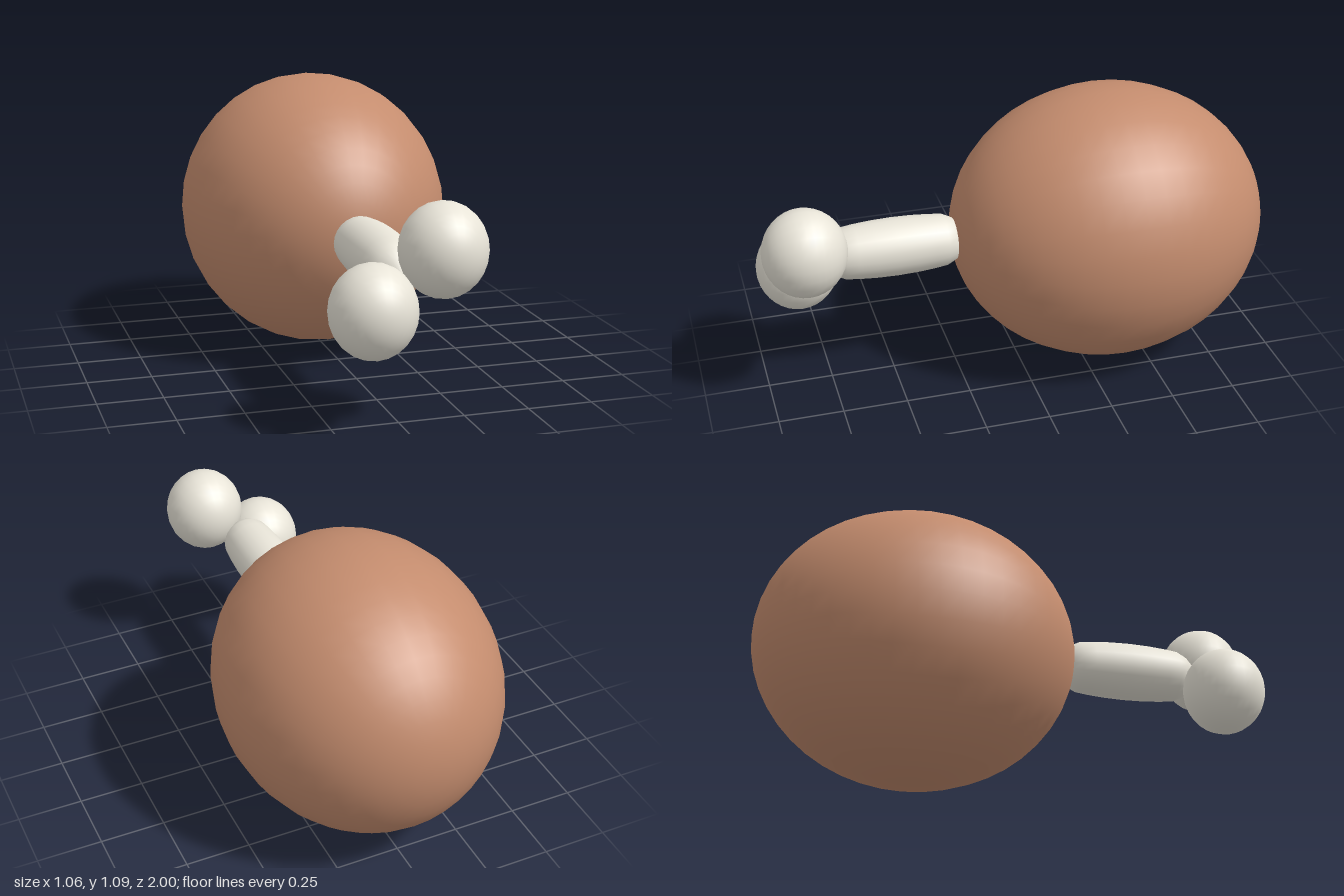
import * as THREE from 'three';

const brown = new THREE.MeshStandardMaterial({ color: 0xc48c6e });
const ivory = new THREE.MeshStandardMaterial({ color: 0xe8e4d8 });
const MID_Y = 0.55;

// Smooth ellipsoid with its poles along z
function ellipsoid(name, material, position, radii, segments) {
  const geometry = new THREE.SphereGeometry(1, segments, Math.round(segments * 0.75));
  geometry.rotateX(Math.PI / 2);
  geometry.scale(...radii);
  const mesh = new THREE.Mesh(geometry, material);
  mesh.name = name;
  mesh.position.set(...position);
  return mesh;
}

export function createModel() {
  const model = new THREE.Group();
  model.name = 'drumstick';

  // Large rounded piece of meat
  model.add(ellipsoid('meat', brown, [0, MID_Y, -0.375], [0.53, 0.547, 0.625], 32));

  // Bone shaft: slightly swollen in the middle, rounded at both ends
  const half = [[0.113, 0], [0.111, 0.08], [0.106, 0.15], [0.1, 0.2], [0.083, 0.235], [0.055, 0.265], [0, 0.285]];
  const profile = [
    ...half.slice(1).reverse().map(([r, d]) => new THREE.Vector2(r, -d)),
    ...half.map(([r, d]) => new THREE.Vector2(r, d)),
  ];
  const shaft = new THREE.Mesh(new THREE.LatheGeometry(profile, 24), ivory);
  shaft.name = 'boneShaft';
  shaft.rotation.x = Math.PI / 2;
  shaft.position.set(0, MID_Y + 0.002, 0.48);
  model.add(shaft);

  // Two knuckles at the end of the bone, set on a diagonal
  for (const [name, s] of [['leftKnuckle', 1], ['rightKnuckle', -1]]) {
    model.add(ellipsoid(name, ivory, [s * 0.126, MID_Y + s * 0.1, 0.84], [0.158, 0.171, 0.16], 24));
  }
  return model;
}
